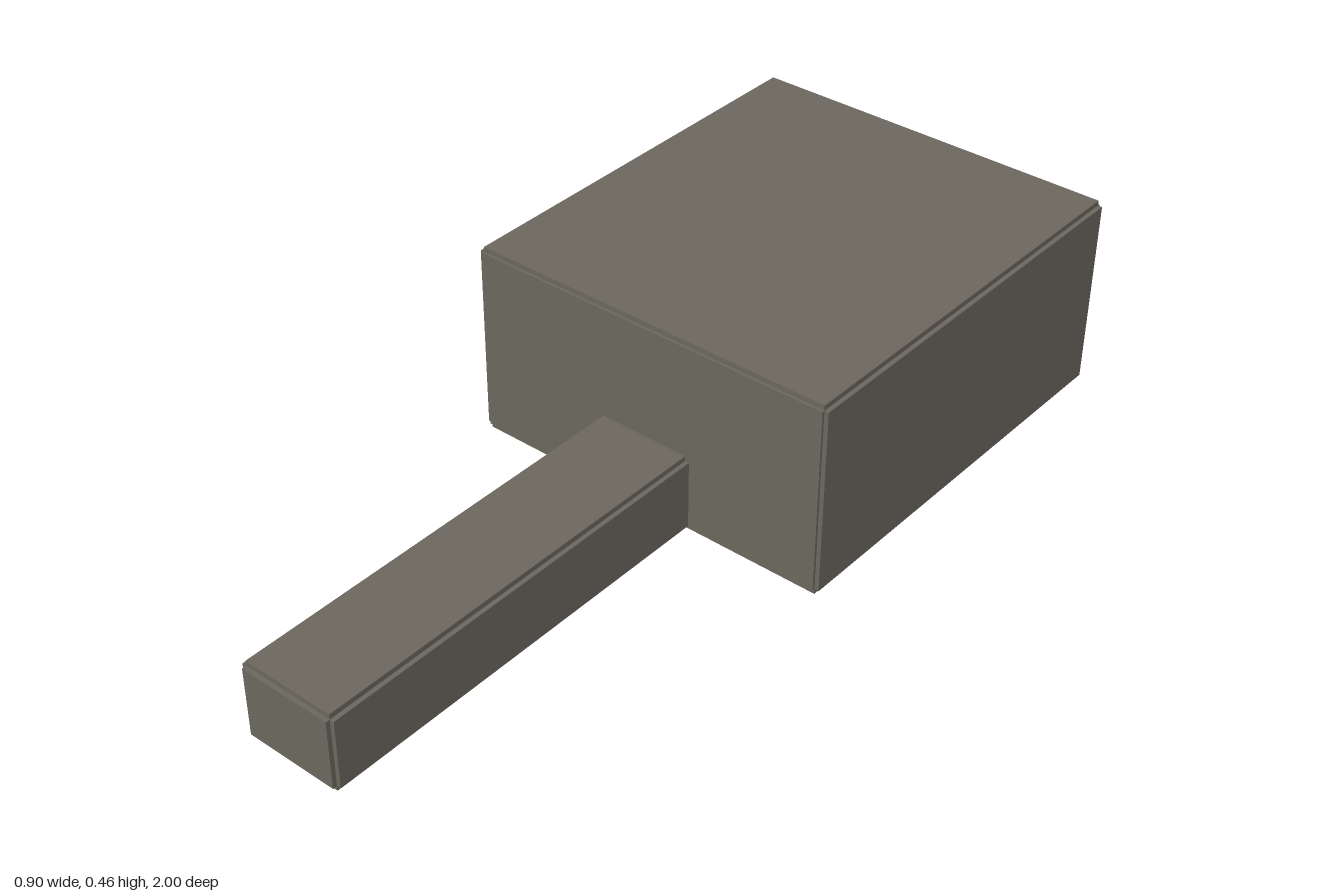
import * as THREE from 'three';

const grey = new THREE.MeshStandardMaterial({ color: 0x6b675e });
grey.name = 'warm grey';

function box(name, x, y, z) {
  const m = new THREE.Mesh(new THREE.BoxGeometry(x[1] - x[0], y[1] - y[0], z[1] - z[0]), grey);
  m.name = name;
  m.position.set((x[0] + x[1]) / 2, (y[0] + y[1]) / 2, (z[0] + z[1]) / 2);
  return m;
}

// Box whose edges are stepped: three overlapping slabs, each reaching out on one axis
function steppedBox(name, x, y, z, step) {
  const group = new THREE.Group();
  group.name = name;
  ['Sides', 'TopAndBottom', 'Ends'].forEach((label, axis) => {
    const r = [x, y, z].map(([a, b], i) => (i === axis ? [a, b] : [a + step[i], b - step[i]]));
    group.add(box(name + label, ...r));
  });
  return group;
}

export function createModel() {
  const model = new THREE.Group();
  model.name = 'block with handle';

  // Main block and the long bar reaching forward
  model.add(steppedBox('body', [-0.449, 0.449], [0, 0.462], [-0.993, 0.004], [0.01, 0.012, 0.006]));
  model.add(steppedBox('handle', [-0.119, 0.119], [0, 0.187], [-0.02, 1], [0.01, 0.012, 0.01]));

  // Raised panel and corner-shaped strip on the back
  model.add(box('backPanel', [-0.22, 0.22], [0.125, 0.34], [-1, -0.992]));
  model.add(box('stripHorizontal', [0.295, 0.41], [0.185, 0.195], [-0.999, -0.992]));
  model.add(box('stripVertical', [0.295, 0.305], [0.195, 0.255], [-0.999, -0.992]));

  return model;
}
